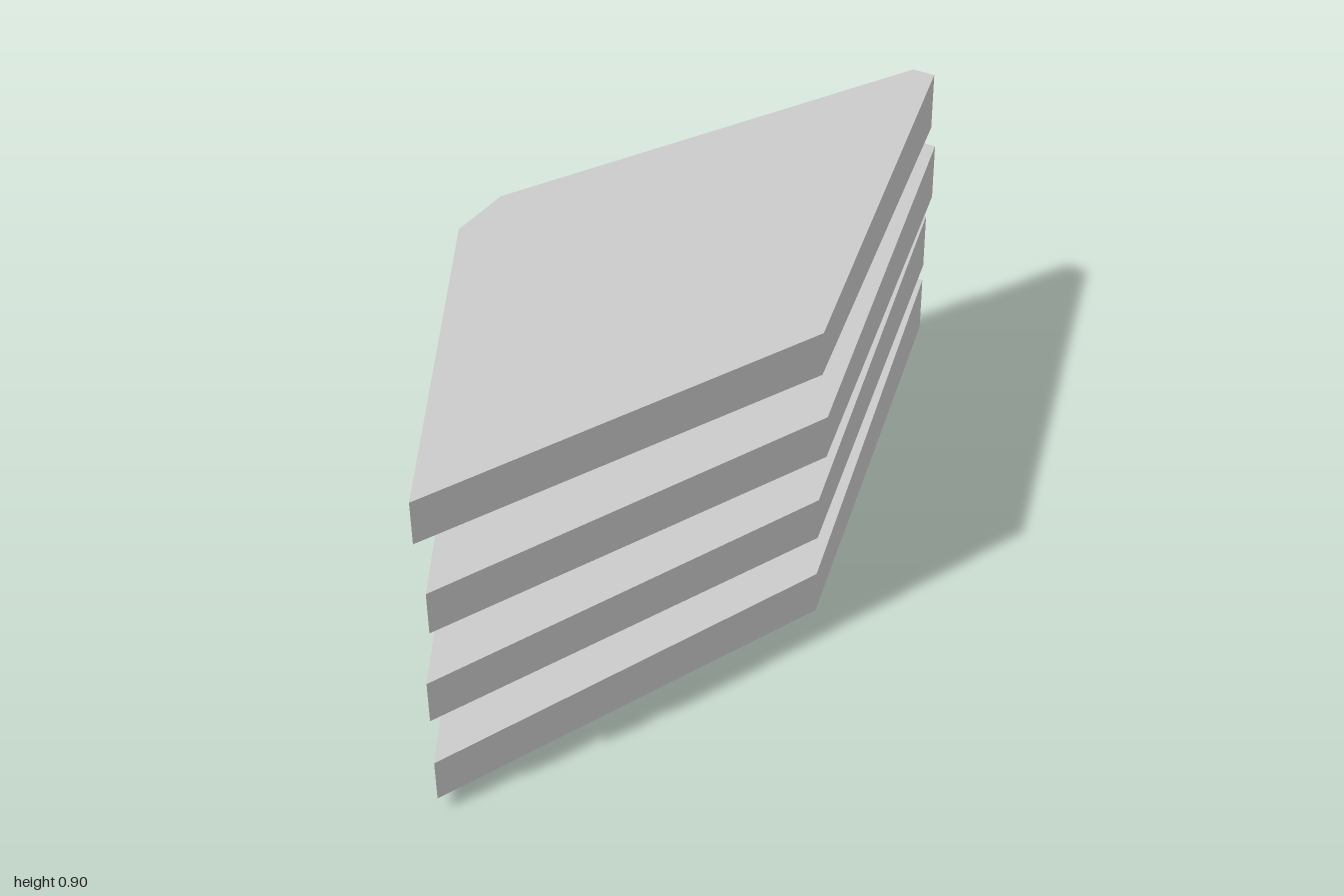
import * as THREE from 'three';

// Slab outline corners: x, z, underside height, top height
const CORNERS = [
  [-1.0, 0.91, 0.037, 0.143],
  [0.085, 0.51, 0.031, 0.147],
  [0.98, -0.86, 0.006, 0.181],
  [0.935, -0.92, 0.004, 0.183],
  [-0.49, -0.43, 0.0, 0.179],
  [-0.64, -0.27, 0.001, 0.177],
];

// Six-sided plate that thins towards its front edge
function slabGeometry() {
  const shape = new THREE.Shape(CORNERS.map(([x, z]) => new THREE.Vector2(x, -z)));
  const geometry = new THREE.ExtrudeGeometry(shape, { depth: 1, bevelEnabled: false });
  geometry.rotateX(-Math.PI / 2);

  // Move each corner of the plain extrusion to its own height
  const pos = geometry.attributes.position;
  for (let i = 0; i < pos.count; i++) {
    const corner = CORNERS.find(([x, z]) =>
      Math.hypot(x - pos.getX(i), z - pos.getZ(i)) < 1e-3);
    pos.setY(i, pos.getY(i) > 0.5 ? corner[3] : corner[2]);
  }
  geometry.computeVertexNormals();
  return geometry;
}

export function createModel() {
  const model = new THREE.Group();
  model.name = 'slabStack';
  const material = new THREE.MeshStandardMaterial({ color: 0xcccccc, flatShading: true });
  const geometry = slabGeometry();

  // Four slabs, the third nudged sideways
  const placements = [[0, 0], [0, 0.23], [0.017, 0.473], [0, 0.714]];
  placements.forEach(([x, y], i) => {
    const slab = new THREE.Mesh(geometry, material);
    slab.name = `slab${i + 1}`;
    slab.position.set(x, y, 0);
    model.add(slab);
  });
  return model;
}
